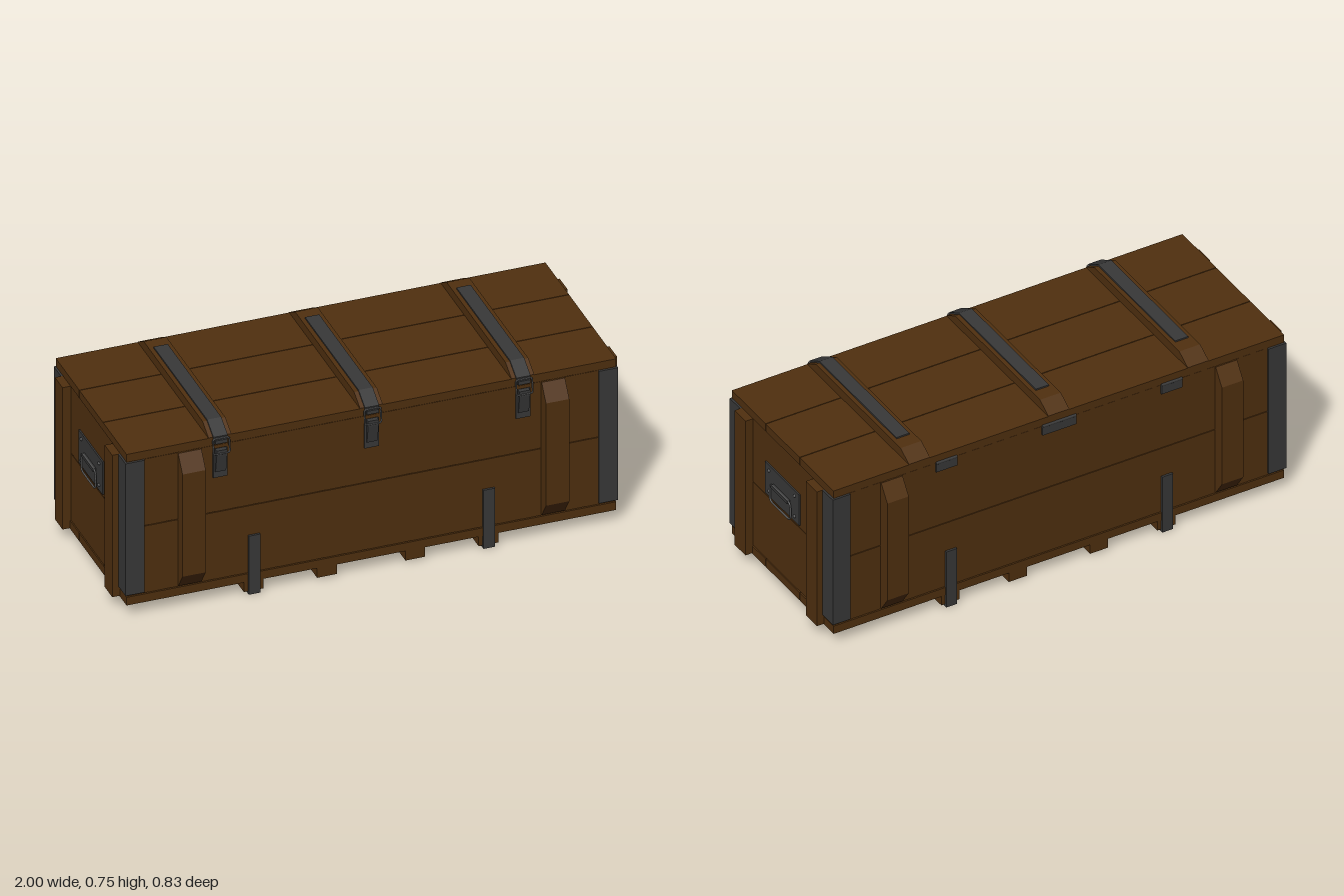
import * as THREE from 'three';

const wood = new THREE.MeshStandardMaterial({ color: 0x50300f });
wood.name = 'brown wood';
const metal = new THREE.MeshStandardMaterial({ color: 0x383838 });
metal.name = 'dark metal';
const steel = new THREE.MeshStandardMaterial({ color: 0x555555 });
steel.name = 'worn steel';

function add(parent, name, geometry, material) {
  const mesh = new THREE.Mesh(geometry, material);
  mesh.name = name;
  parent.add(mesh);
  return mesh;
}

// Box given by its lower and upper limits on each axis
function box(parent, name, material, [x0, x1], [y0, y1], [z0, z1]) {
  const mesh = add(parent, name, new THREE.BoxGeometry(x1 - x0, y1 - y0, z1 - z0), material);
  mesh.position.set((x0 + x1) / 2, (y0 + y1) / 2, (z0 + z1) / 2);
  return mesh;
}

// Side profile of [z, y] points extruded along x, centred on x
function profile(parent, name, material, points, x, width) {
  const shape = new THREE.Shape(points.map(([z, y]) => new THREE.Vector2(z, y)));
  const geometry = new THREE.ExtrudeGeometry(shape, { depth: width, bevelEnabled: false });
  geometry.translate(0, 0, -width / 2).rotateY(-Math.PI / 2);
  const mesh = add(parent, name, geometry, material);
  mesh.position.x = x;
  return mesh;
}

// Closed wire loop with rounded corners in the xy plane
function wireLoop(parent, name, w, h, r, wire) {
  const s = new THREE.Shape();
  const a = w / 2 - r, b = h / 2 - r;
  s.absarc(a, b, r, 0, Math.PI / 2);
  s.absarc(-a, b, r, Math.PI / 2, Math.PI);
  s.absarc(-a, -b, r, Math.PI, Math.PI * 1.5);
  s.absarc(a, -b, r, Math.PI * 1.5, Math.PI * 2);
  const points = s.getPoints(4).map(p => new THREE.Vector3(p.x, p.y, 0));
  const curve = new THREE.CatmullRomCurve3(points, true, 'centripetal');
  return add(parent, name, new THREE.TubeGeometry(curve, 64, wire, 6, true), steel);
}

function makeBody(group) {
  box(group, 'core', wood, [-0.955, 0.955], [0.085, 0.675], [-0.355, 0.355]);
  // Three planks each for the floor and the lid
  const rows = [[-0.37, -0.125], [-0.122, 0.122], [0.125, 0.37]];
  for (const z of rows) {
    box(group, 'floorPlank', wood, [-0.97, 0.97], [0.053, 0.088], z);
    box(group, 'lidPlank', wood, [-0.97, 0.97], [0.672, 0.706], z);
  }
  // Two planks on every wall
  for (const y of [[0.091, 0.379], [0.382, 0.669]]) {
    for (const s of [-1, 1]) {
      const wall = box(group, 'sidePlank', wood, [-0.967, 0.967], y, [0.347, 0.367]);
      wall.position.z *= s;
      const end = box(group, 'endPlank', wood, [0.947, 0.967], y, [-0.367, 0.367]);
      end.position.x *= s;
    }
  }
}

function makeSide(group) {
  // Chamfered upright battens
  for (const x of [-0.72, 0.72]) {
    profile(group, 'sideBatten', wood,
      [[0.36, 0.095], [0.372, 0.095], [0.417, 0.16], [0.417, 0.602], [0.372, 0.668], [0.36, 0.668]], x, 0.092);
  }
}

function makeEnd(group) {
  for (const s of [-1, 1]) {
    const batten = box(group, 'endBatten', wood, [0.96, 1], [0.056, 0.669], [0.22, 0.3]);
    batten.position.z *= s;
    // Angle iron: one leg on the end, one on the long side
    const leg = box(group, 'cornerIron', metal, [0.96, 0.976], [0.098, 0.669], [0.3, 0.375]);
    leg.position.z *= s;
    const flank = box(group, 'cornerIron', metal, [0.9, 0.976], [0.098, 0.669], [0.36, 0.375]);
    flank.position.z *= s;
  }
  // Handle plate, rivets and drop handle
  box(group, 'handlePlate', metal, [0.965, 0.973], [0.395, 0.536], [-0.124, 0.124]);
  for (const z of [-0.093, 0.093]) {
    for (const y of [0.42, 0.513]) {
      const rivet = add(group, 'rivet', new THREE.SphereGeometry(0.007, 10, 6), steel);
      rivet.position.set(0.973, y, z);
    }
  }
  const handle = wireLoop(group, 'handle', 0.148, 0.077, 0.016, 0.004);
  handle.rotation.y = Math.PI / 2;
  handle.position.set(0.981, 0.43, 0);
  box(group, 'handleBracket', metal, [0.972, 0.986], [0.459, 0.472], [-0.06, 0.06]);
}

function makeLidStrap(group, x) {
  // Chamfered batten over the lid
  profile(group, 'lidBatten', wood,
    [[0.37, 0.7], [0.37, 0.708], [0.308, 0.744], [-0.308, 0.744], [-0.37, 0.708], [-0.37, 0.7]], x, 0.09);
  // Metal strap that bends down over the front edge
  profile(group, 'lidStrap', metal,
    [[-0.25, 0.743], [-0.25, 0.75], [0.31, 0.75], [0.377, 0.711], [0.377, 0.68], [0.369, 0.68], [0.369, 0.706], [0.307, 0.743]],
    x, 0.056);
  // Latch
  const latch = new THREE.Group();
  latch.name = 'latch';
  latch.position.x = x;
  group.add(latch);
  box(latch, 'latchPlate', metal, [-0.028, 0.028], [0.533, 0.655], [0.364, 0.374]);
  profile(latch, 'latchLever', metal,
    [[0.372, 0.56], [0.379, 0.56], [0.392, 0.635], [0.392, 0.658], [0.372, 0.658]], 0, 0.042);
  const loop = wireLoop(latch, 'latchLoop', 0.064, 0.062, 0.008, 0.0035);
  loop.position.set(0, 0.674, 0.386);
  loop.rotation.x = -0.15;
  box(latch, 'latchCatch', metal, [-0.024, 0.024], [0.685, 0.7], [0.372, 0.388]);
}

function makeHinge(group, x, width) {
  box(group, 'hingeLeaf', metal, [x - width / 2, x + width / 2], [0.632, 0.672], [-0.375, -0.362]);
  const barrel = add(group, 'hingeBarrel', new THREE.CylinderGeometry(0.006, 0.006, width, 12), metal);
  barrel.rotation.z = Math.PI / 2;
  barrel.position.set(x, 0.671, -0.371);
}

function makeSkids(group) {
  for (const x of [-0.465, -0.175, 0.175, 0.465]) {
    box(group, 'skid', wood, [x - 0.039, x + 0.039], [0.01, 0.055], [-0.367, 0.367]);
  }
  // U-shaped bands under the outer skids
  for (const x of [-0.465, 0.465]) {
    profile(group, 'skidBand', metal,
      [[-0.376, 0.253], [-0.376, 0], [0.376, 0], [0.376, 0.253], [0.366, 0.253], [0.366, 0.011], [-0.366, 0.011], [-0.366, 0.253]],
      x, 0.046);
  }
}

export function createModel() {
  const model = new THREE.Group();
  model.name = 'woodenCrate';
  makeBody(model);
  for (const turn of [0, Math.PI]) {
    const side = new THREE.Group();
    side.name = turn ? 'backSide' : 'frontSide';
    makeSide(side);
    const end = new THREE.Group();
    end.name = turn ? 'rightEnd' : 'leftEnd';
    makeEnd(end);
    side.rotation.y = end.rotation.y = turn;
    model.add(side, end);
  }
  for (const x of [-0.6, 0, 0.6]) makeLidStrap(model, x);
  makeHinge(model, 0, 0.145);
  for (const x of [-0.485, 0.485]) makeHinge(model, x, 0.09);
  makeSkids(model);
  return model;
}
